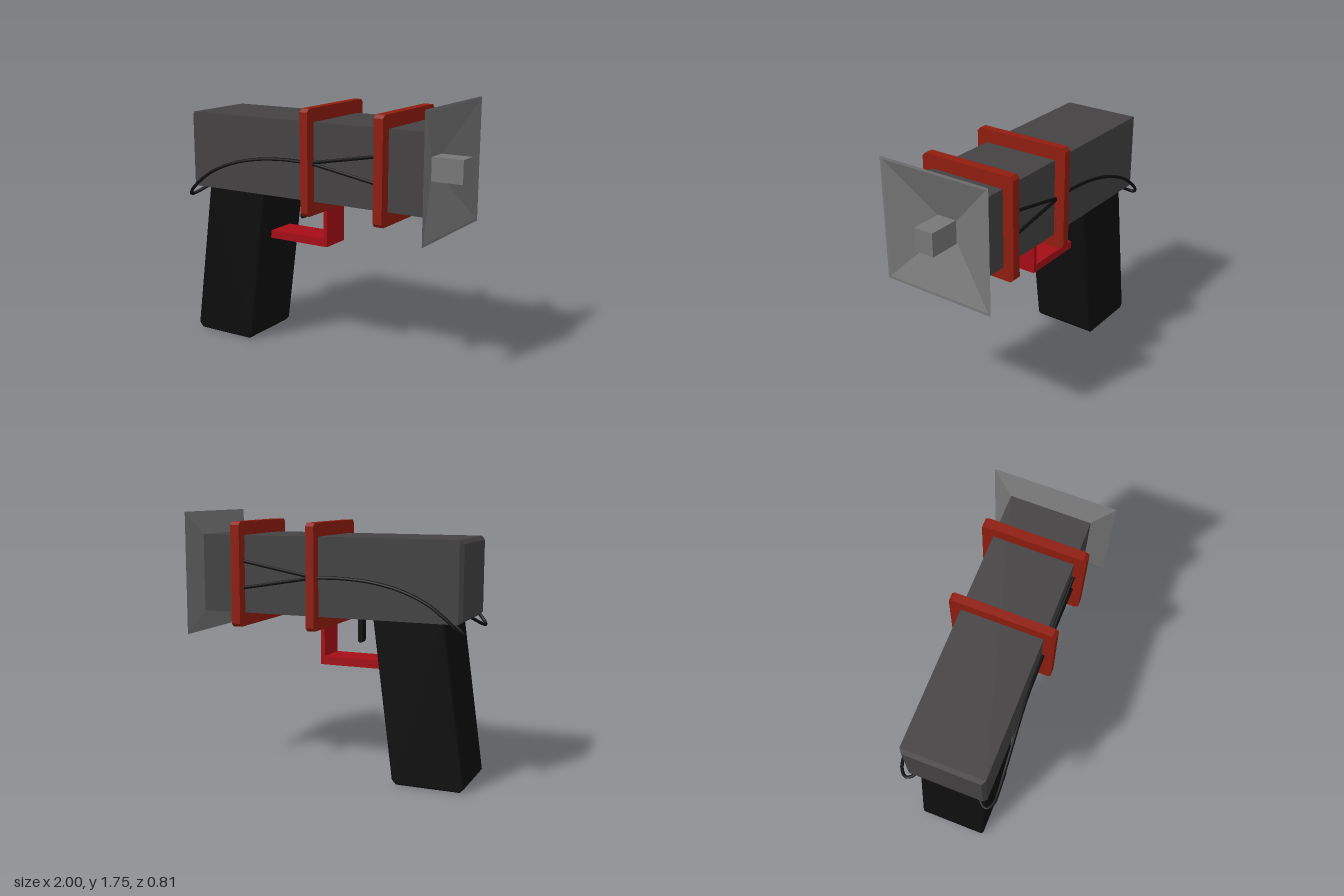
import * as THREE from 'three';

const AXIS_Y = 1.34; // height of the barrel axis

const mat = (color) => new THREE.MeshStandardMaterial({ color, flatShading: true, side: THREE.DoubleSide });

// Skin of rectangles along x; each section is [x, halfHeight, halfWidth]
function rectLoft(sections) {
  const pos = [];
  const corners = [[1, 1], [1, -1], [-1, -1], [-1, 1]];
  const point = ([x, h, w], i) => [x, corners[i % 4][0] * h, corners[i % 4][1] * w];
  for (let s = 0; s < sections.length - 1; s++) {
    for (let i = 0; i < 4; i++) {
      const a0 = point(sections[s], i), a1 = point(sections[s], i + 1);
      const b0 = point(sections[s + 1], i), b1 = point(sections[s + 1], i + 1);
      pos.push(...a0, ...b1, ...a1, ...a0, ...b0, ...b1);
    }
  }
  const geo = new THREE.BufferGeometry();
  geo.setAttribute('position', new THREE.Float32BufferAttribute(pos, 3));
  geo.computeVertexNormals();
  return geo;
}

const polygon = (points) => points.map(([x, y]) => new THREE.Vector2(x, y));

export function createModel() {
  const group = new THREE.Group();
  const black = mat(0x0d0d0d);
  const bandRed = mat(0x8f1c0f);
  const guardRed = mat(0xa50d15);
  const steel = mat(0x777777);

  const add = (name, geo, material, x = 0, y = 0, z = 0) => {
    const mesh = new THREE.Mesh(geo, material);
    mesh.name = name;
    mesh.position.set(x, y, z);
    group.add(mesh);
    return mesh;
  };
  // Box given by its limits in x and y and its half width in z
  const box = (name, x0, x1, y0, y1, hz, material) =>
    add(name, new THREE.BoxGeometry(x1 - x0, y1 - y0, hz * 2), material, (x0 + x1) / 2, (y0 + y1) / 2, 0);

  // Square barrel, chamfered at the back and open where the dish sinks in
  add('body', rectLoft([
    [-0.97, 0, 0], [-0.97, 0.235, 0.25], [-0.945, 0.26, 0.27], [0.84, 0.26, 0.27],
  ]), mat(0x444242), 0, AXIS_Y);

  // Flared muzzle with a hollow pyramid inside
  add('muzzleDish', rectLoft([
    [0.84, 0.26, 0.27], [0.9, 0.412, 0.405], [0.9, 0.395, 0.388], [0.76, 0, 0],
  ]), steel, 0, AXIS_Y);
  box('emitter', 0.74, 1, 1.262, 1.417, 0.068, steel);

  // Clamping frames round the barrel
  const H = 0.35, W = 0.345, c = 0.022;
  const frame = new THREE.Shape(polygon([
    [-W + c, -H], [W - c, -H], [W, -H + c], [W, H - c], [W - c, H], [-W + c, H], [-W, H - c], [-W, -H + c],
  ]));
  frame.holes.push(new THREE.Path(polygon([[-0.268, -0.258], [-0.268, 0.258], [0.268, 0.258], [0.268, -0.258]])));
  for (const [name, x, depth] of [['rearBand', -0.01, 0.056], ['frontBand', 0.528, 0.064]]) {
    const geo = new THREE.ExtrudeGeometry(frame, { depth, bevelEnabled: false });
    add(name, geo, bandRed, x, AXIS_Y).rotation.y = Math.PI / 2;
  }

  // Slanted grip with clipped lower corners
  const b = 0.01;
  const grip = new THREE.Shape(polygon([
    [-0.965, b], [-0.545, b], [-0.522, 0.035], [-0.383, 1.1], [-0.838, 1.1], [-0.988, 0.035],
  ]));
  add('grip', new THREE.ExtrudeGeometry(grip, {
    depth: 0.45, bevelThickness: b, bevelSize: b, bevelSegments: 1,
  }), black, 0, 0, -0.225);

  // Trigger with a rounded tip, and its guard
  box('trigger', -0.226, -0.194, 0.9, 1.1, 0.03, black);
  const tip = new THREE.CylinderGeometry(0.016, 0.016, 0.06, 10);
  add('triggerTip', tip, black, -0.21, 0.901, 0).rotation.x = Math.PI / 2;
  box('guardBottom', -0.43, 0.043, 0.735, 0.79, 0.11, guardRed);
  box('guardFront', 0.015, 0.043, 0.735, 1.08, 0.11, guardRed);

  // Cables on both sides: one from the grip to the rear band, then two to the front band
  const cableMat = new THREE.MeshStandardMaterial({ color: 0x0d0d0d });
  const main = [
    [-0.85, 1.1, 0.17], [-0.93, 1.05, 0.21], [-0.975, 1.02, 0.245], [-0.985, 1.015, 0.28],
    [-0.95, 1.055, 0.312], [-0.88, 1.12, 0.32], [-0.76, 1.205, 0.315], [-0.58, 1.28, 0.303],
    [-0.38, 1.322, 0.288], [-0.18, 1.337, 0.28], [0.02, 1.335, 0.28],
  ];
  for (const [side, s] of [['left', 1], ['right', -1]]) {
    const cable = (name, points) => {
      const curve = new THREE.CatmullRomCurve3(points.map(([x, y, z]) => new THREE.Vector3(x, y, z * s)));
      add(name, new THREE.TubeGeometry(curve, points.length * 6, 0.011, 8), cableMat);
    };
    // The model faces +z, so +z is its front side
    const label = side === 'left' ? 'front' : 'back';
    cable(label + 'Cable', main);
    cable(label + 'UpperBranch', [[0.02, 1.335, 0.28], [0.55, 1.43, 0.28]]);
    cable(label + 'LowerBranch', [[0.02, 1.335, 0.28], [0.55, 1.245, 0.28]]);
  }

  return group;
}
